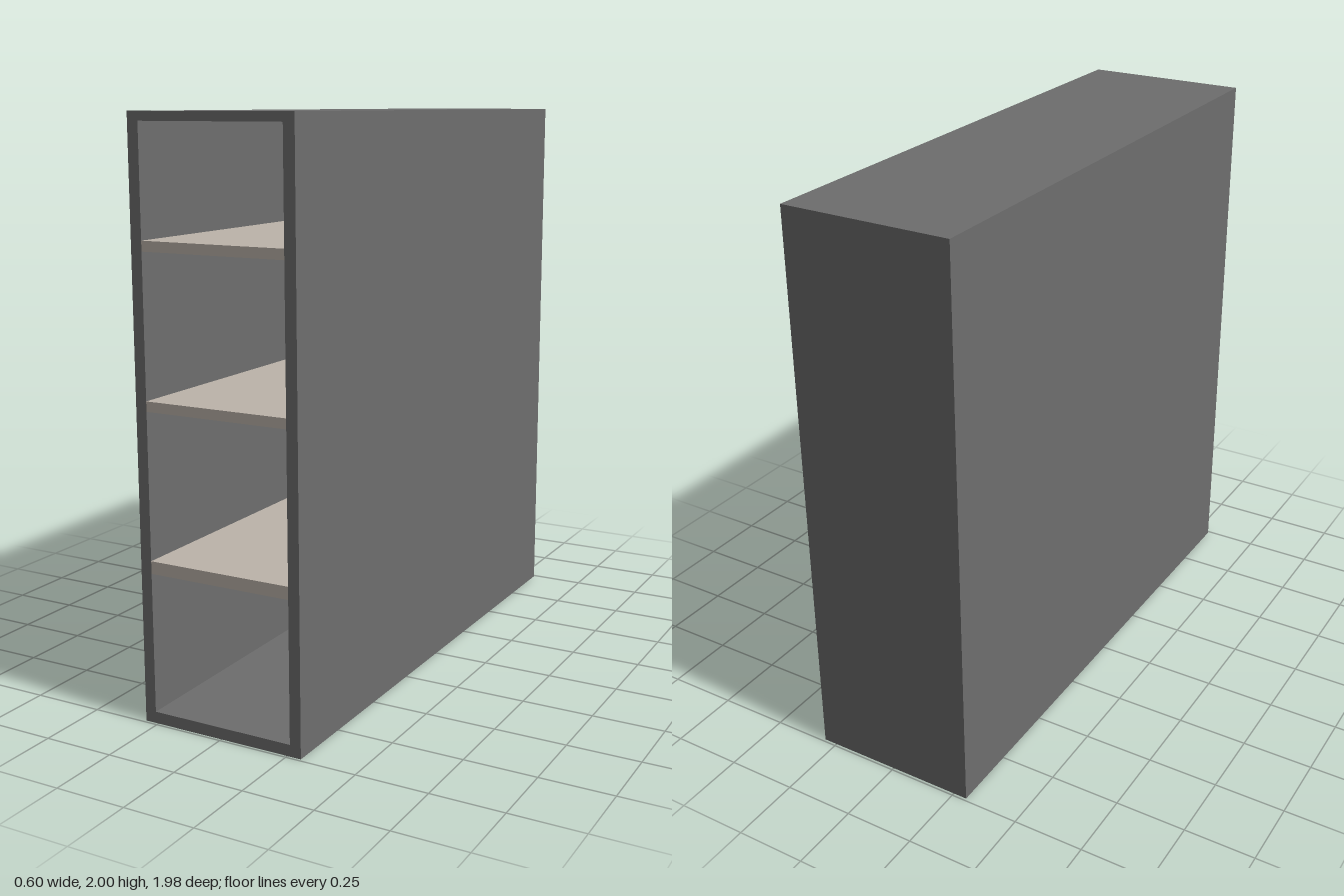
import * as THREE from 'three';

const W = 0.6, H = 2, D = 1.98;
const INNER_W = 0.52, FLOOR = 0.04, CEILING = 1.97, BACK = 0.04;

export function createModel() {
  const model = new THREE.Group();
  model.name = 'shelfCabinet';
  const shellMat = new THREE.MeshStandardMaterial({ color: 0x6e6e6e });
  const shelfMat = new THREE.MeshStandardMaterial({ color: 0xbdb4aa });

  // Shell: rectangular tube, open at the front
  const outline = new THREE.Shape([
    new THREE.Vector2(-W / 2, 0), new THREE.Vector2(W / 2, 0),
    new THREE.Vector2(W / 2, H), new THREE.Vector2(-W / 2, H),
  ]);
  outline.holes.push(new THREE.Path([
    new THREE.Vector2(-INNER_W / 2, FLOOR), new THREE.Vector2(-INNER_W / 2, CEILING),
    new THREE.Vector2(INNER_W / 2, CEILING), new THREE.Vector2(INNER_W / 2, FLOOR),
  ]));
  const shellGeo = new THREE.ExtrudeGeometry(outline, { depth: D, bevelEnabled: false });
  const shell = new THREE.Mesh(shellGeo, shellMat);
  shell.name = 'shell';
  shell.position.z = -D / 2;
  model.add(shell);

  // Back panel closing the tube
  const back = new THREE.Mesh(
    new THREE.BoxGeometry(INNER_W, CEILING - FLOOR, BACK), shellMat);
  back.name = 'backPanel';
  back.position.set(0, (FLOOR + CEILING) / 2, -D / 2 + BACK / 2);
  model.add(back);

  // Shelves, flush with the front: [bottom, top]
  const depth = D - BACK;
  [[0.52, 0.563], [1.06, 1.094], [1.57, 1.604]].forEach(([y0, y1], i) => {
    const shelf = new THREE.Mesh(new THREE.BoxGeometry(INNER_W, y1 - y0, depth), shelfMat);
    shelf.name = `shelf${i + 1}`;
    shelf.position.set(0, (y0 + y1) / 2, BACK / 2);
    model.add(shelf);
  });

  return model;
}
